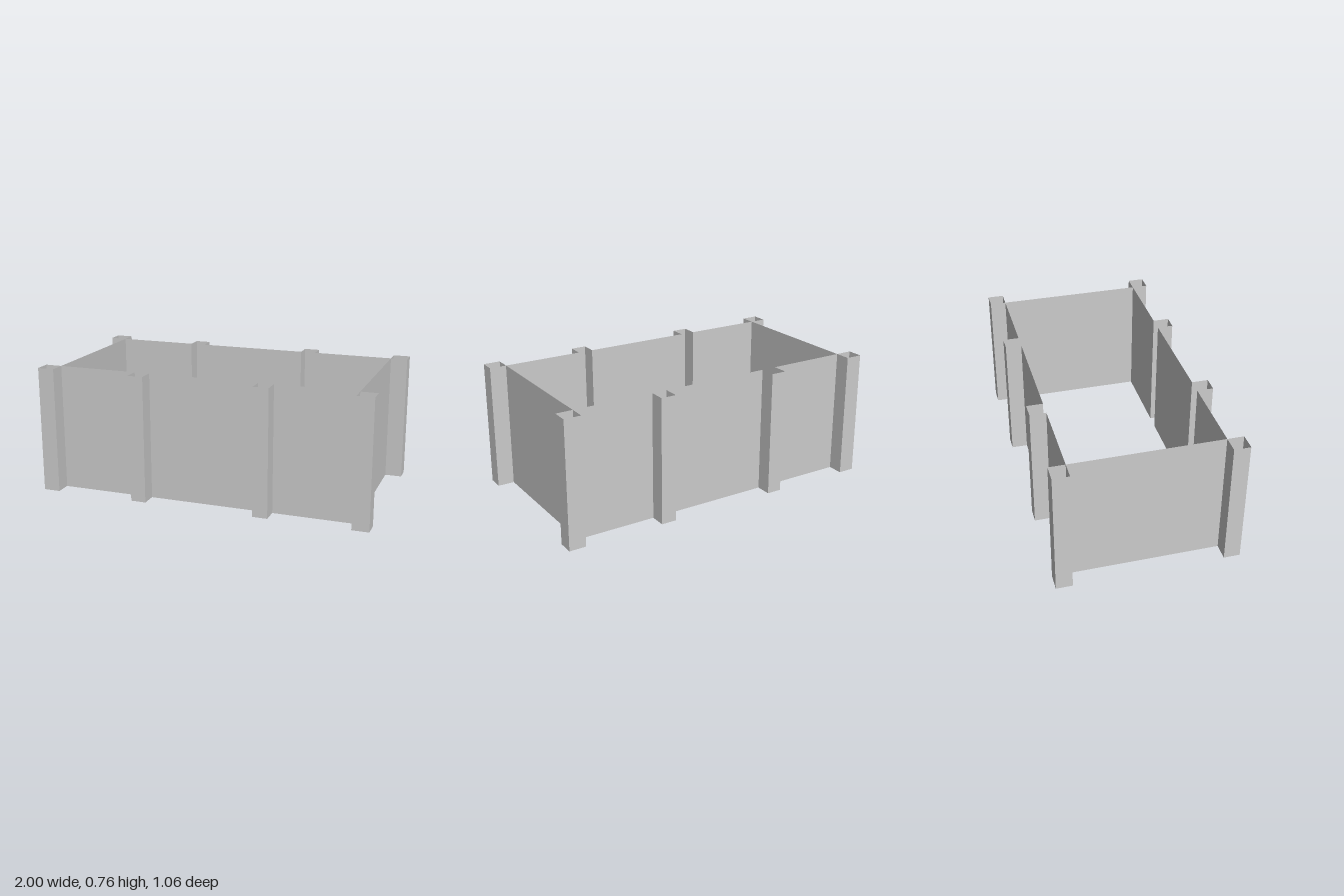
import * as THREE from 'three';

const H = 0.756;               // wall height
const X = 0.9, Z = 0.436;      // inner corners of the enclosure
const OX = 1, OZ = 0.531;      // outer faces of the posts
const P0 = 0.329, P1 = 0.42;   // inner and outer edge of a middle post

const material = new THREE.MeshStandardMaterial({
  color: 0xcccccc, side: THREE.DoubleSide, flatShading: true,
});

// Thin upright sheet folded along a plan path of [x, z] points
function foldedSheet(name, path) {
  const positions = [], index = [];
  for (let i = 0; i < path.length - 1; i++) {
    const [ax, az] = path[i], [bx, bz] = path[i + 1];
    const n = i * 4;
    positions.push(ax, 0, az, bx, 0, bz, bx, H, bz, ax, H, az);
    index.push(n, n + 1, n + 2, n, n + 2, n + 3);
  }
  const geometry = new THREE.BufferGeometry();
  geometry.setAttribute('position', new THREE.Float32BufferAttribute(positions, 3));
  geometry.setIndex(index);
  geometry.computeVertexNormals();
  const mesh = new THREE.Mesh(geometry, material);
  mesh.name = name;
  return mesh;
}

export function createModel() {
  const model = new THREE.Group();
  model.name = 'enclosure';

  // Long walls, folded outward into two channel posts each; ordered to face outward
  for (const s of [1, -1]) {
    const path = [
      [-X, Z], [-P1, Z], [-P1, OZ], [-P0, OZ], [-P0, Z],
      [P0, Z], [P0, OZ], [P1, OZ], [P1, Z], [X, Z],
    ].map(([x, z]) => [s * x, s * z]);
    model.add(foldedSheet(s > 0 ? 'frontWall' : 'backWall', path));
  }

  // Flat end walls
  for (const s of [1, -1]) {
    model.add(foldedSheet(s > 0 ? 'leftWall' : 'rightWall', [[s * X, s * Z], [s * X, -s * Z]]));
  }

  // Hollow square corner posts, open at top and bottom
  for (const sx of [1, -1]) {
    for (const sz of [1, -1]) {
      const path = [[X, Z], [X, OZ], [OX, OZ], [OX, Z], [X, Z]].map(([x, z]) => [sx * x, sz * z]);
      if (sx * sz < 0) path.reverse(); // keep mirrored posts facing outward
      model.add(foldedSheet(`${sz > 0 ? 'front' : 'back'}${sx > 0 ? 'Left' : 'Right'}Post`, path));
    }
  }
  return model;
}
